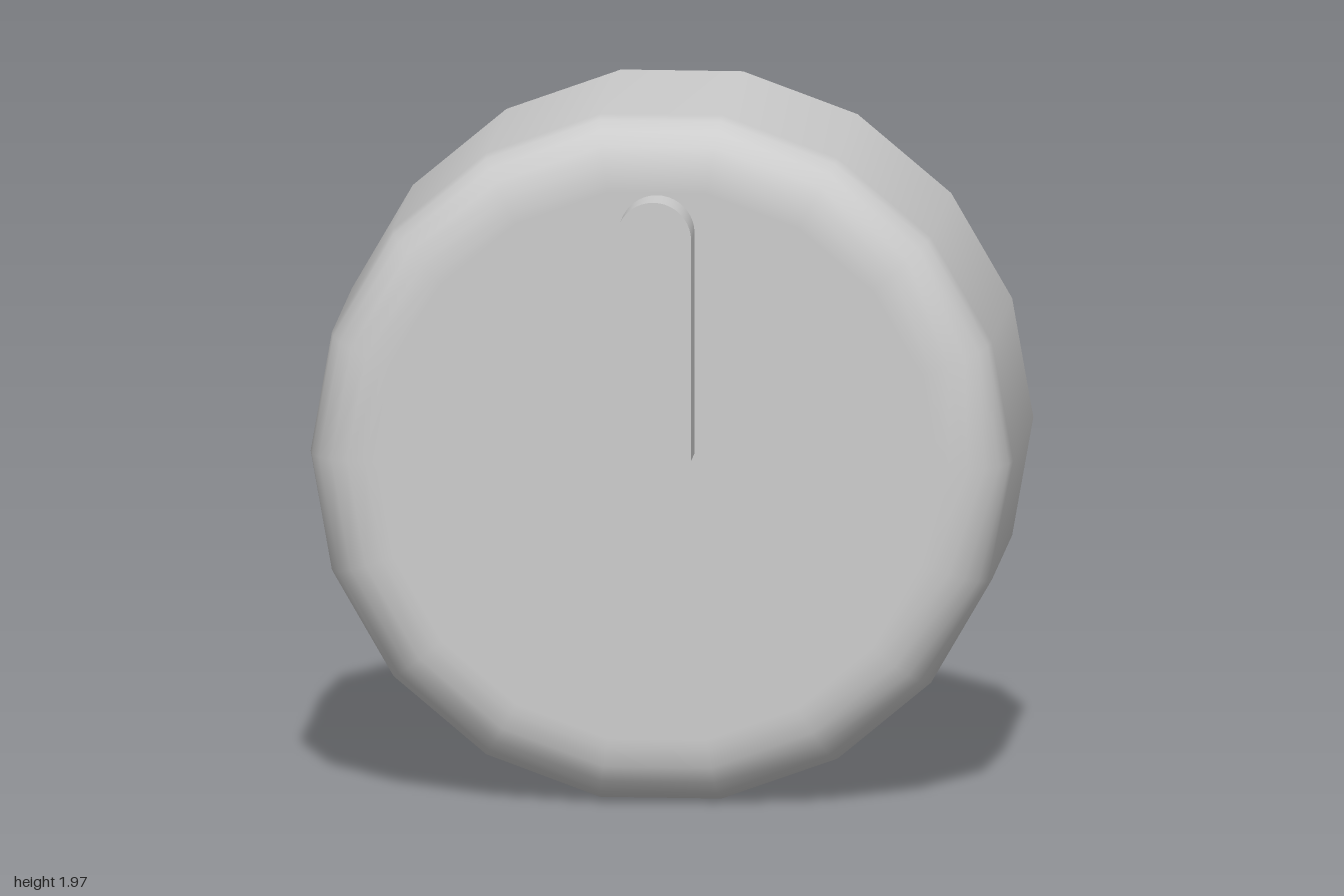
import * as THREE from 'three';
import { toCreasedNormals } from 'three/addons/utils/BufferGeometryUtils.js';

const SIDES = 18, BACK = -0.49, FACE = 0.37, FILLET = 0.17, CENTRE_Y = 0.985;

export function createModel() {
  const group = new THREE.Group();
  group.name = 'knob';
  const grey = new THREE.MeshStandardMaterial({ color: 0xcccccc, side: THREE.DoubleSide });
  grey.name = 'light grey';

  // Hollow cap: straight wall, rounded rim, flat face, open at the back
  const profile = [new THREE.Vector2(1, BACK)];
  const steps = 5;
  for (let i = 0; i <= steps; i++) {
    const a = (i / steps) * Math.PI / 2;
    profile.push(new THREE.Vector2(1 - FILLET + FILLET * Math.cos(a), FACE - FILLET + FILLET * Math.sin(a)));
  }
  profile.push(new THREE.Vector2(0.8, FACE), new THREE.Vector2(0, FACE));
  const capGeometry = new THREE.LatheGeometry(profile, SIDES, Math.PI / 2);
  capGeometry.rotateX(Math.PI / 2);
  const cap = new THREE.Mesh(capGeometry, grey);
  cap.name = 'cap';
  cap.position.y = CENTRE_Y;
  group.add(cap);

  // Raised pointer with a round top
  const half = 0.107, bottom = 1.025, top = 1.768;
  const outline = new THREE.Shape();
  outline.moveTo(-half, bottom);
  outline.lineTo(half, bottom);
  outline.lineTo(half, top - half);
  outline.absarc(0, top - half, half, 0, Math.PI, false);
  outline.closePath();
  const pointerGeometry = new THREE.ExtrudeGeometry(outline, { depth: 0.119, bevelEnabled: false, curveSegments: 10 });
  const pointer = new THREE.Mesh(toCreasedNormals(pointerGeometry, Math.PI / 5), grey);
  pointer.name = 'pointer';
  pointer.position.z = FACE + 0.001;
  group.add(pointer);

  return group;
}
